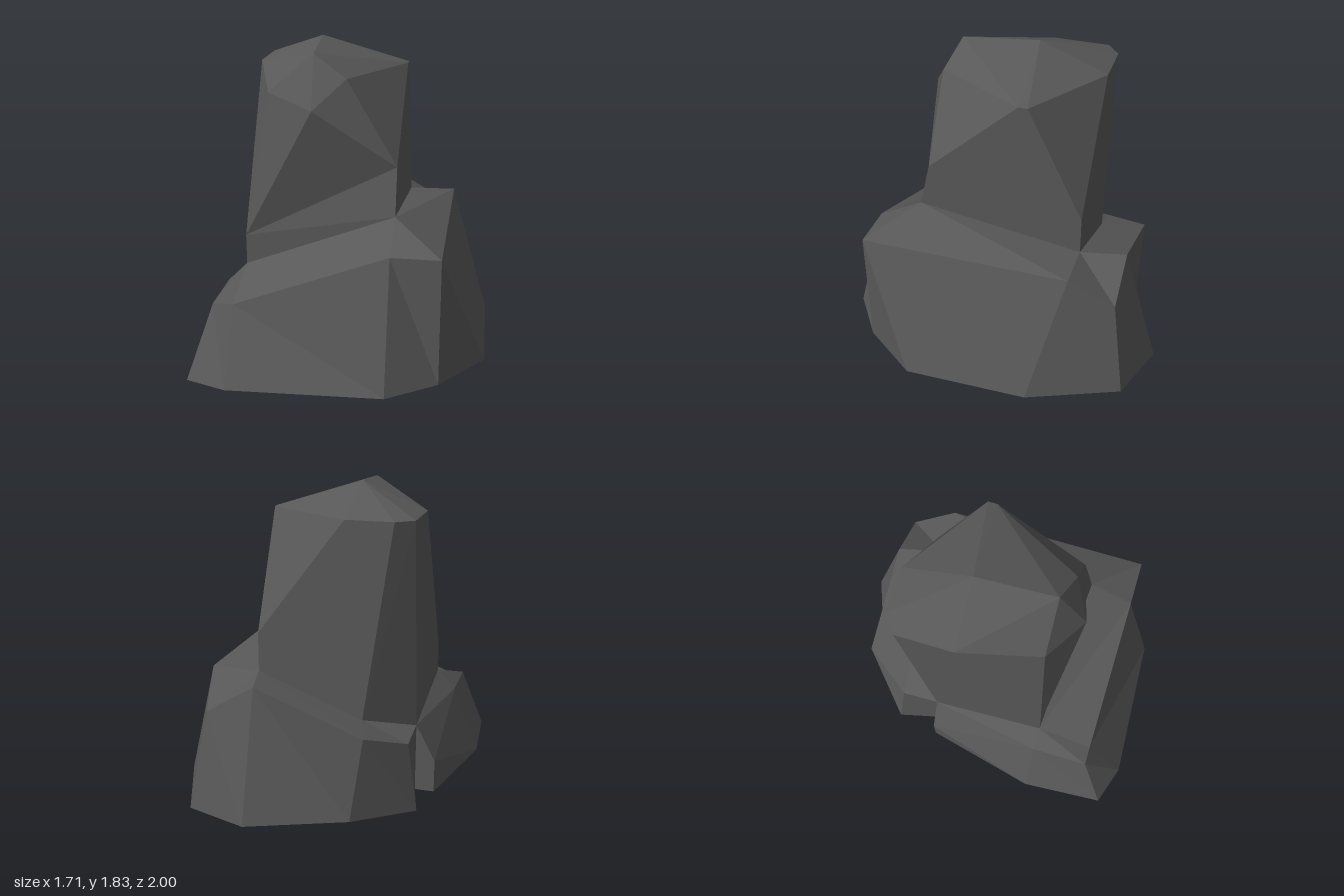
import * as THREE from 'three';
import { ConvexGeometry } from 'three/addons/geometries/ConvexGeometry.js';

const stone = new THREE.MeshStandardMaterial({ color: 0x585858, flatShading: true });
stone.name = 'dark grey stone';

// Inner corners where the pillar meets the base
const backRight = [0.315, 0.75, -0.51];
const frontRight = [0.315, 0.895, 0.49];
const frontLeft = [-0.58, 0.53, 0.42];
const notch = [-0.58, 0.415, -0.27];
const backLeft = [-0.31, 0.51, -0.51];

// Base columns, from the back round by +x: foot on the ground, rim, inner corner
const columns = [
  [[0.25, 0, -1], [0.25, 0.745, -0.78], backRight],
  [[0.62, 0, -0.87], [0.535, 0.575, -0.78], backRight],
  [[0.84, 0, -0.33], [0.6, 0.755, -0.51], backRight],
  [[0.85, 0, 0.42], [0.6, 0.755, 0.42], frontRight],
  [[0.6, 0, 0.76], [0.6, 0.755, 0.76], frontRight],
  [[0.315, 0, 0.96], [0.315, 0.755, 0.76], frontRight],
  [[-0.58, 0, 1], [-0.58, 0.415, 0.76], frontLeft],
  [[-0.82, 0, 0.92], [-0.695, 0.415, 0.76], frontLeft],
  [[-0.855, 0, 0.42], [-0.695, 0.415, 0.42], frontLeft],
  [[-0.695, 0, -0.27], [-0.695, 0.2, -0.27], notch],
  [[-0.58, 0, -0.27], [-0.58, 0.2, -0.27], notch],
  [[-0.645, 0, -0.54], [-0.58, 0.39, -0.5], notch],
  [[-0.31, 0, -0.78], [-0.385, 0.51, -0.78], backLeft],
];

function baseGeometry() {
  const positions = [];
  const triangle = (a, b, c) => {
    if (a !== b && b !== c && a !== c) positions.push(...a, ...b, ...c);
  };
  columns.forEach((column, i) => {
    const next = columns[(i + 1) % columns.length];
    for (let k = 0; k < 2; k++) {
      triangle(column[k], column[k + 1], next[k + 1]);
      triangle(column[k], next[k + 1], next[k]);
    }
    triangle([0, 0, 0], column[0], next[0]); // underside
  });
  const geometry = new THREE.BufferGeometry();
  geometry.setAttribute('position', new THREE.Float32BufferAttribute(positions, 3));
  geometry.computeVertexNormals();
  return geometry;
}

const hull = (points) => new ConvexGeometry(points.map((p) => new THREE.Vector3(...p)));

export function createModel() {
  const group = new THREE.Group();
  group.name = 'rock';
  const add = (name, geometry) => {
    const mesh = new THREE.Mesh(geometry, stone);
    mesh.name = name;
    group.add(mesh);
  };

  add('base', baseGeometry());

  // Lower front edge of the pillar, shared with the collar below it
  const chinLeft = [-0.58, 0.71, 0.42];
  const chinRight = [0.315, 1.17, 0.425];

  // Chipped pillar
  add('pillar', hull([
    chinLeft, chinRight, backRight, backLeft, notch,
    [0.315, 0.98, -0.51], // back corner chip
    [0.315, 1.665, -0.18], [-0.2, 1.665, -0.51],
    [-0.48, 1.665, -0.51], [-0.58, 1.665, -0.43],
    [-0.58, 1.665, -0.09], [0.315, 1.665, -0.125],
    [-0.2, 1.825, -0.1], [-0.17, 1.795, 0.365], // crest
    [-0.435, 1.565, 0.37], [0.025, 1.665, 0.42], [-0.155, 1.5, 0.53], // brow
  ]));

  // Collar between pillar and base
  add('collar', hull([chinLeft, chinRight, frontRight, frontLeft, backRight, notch]));

  return group;
}
